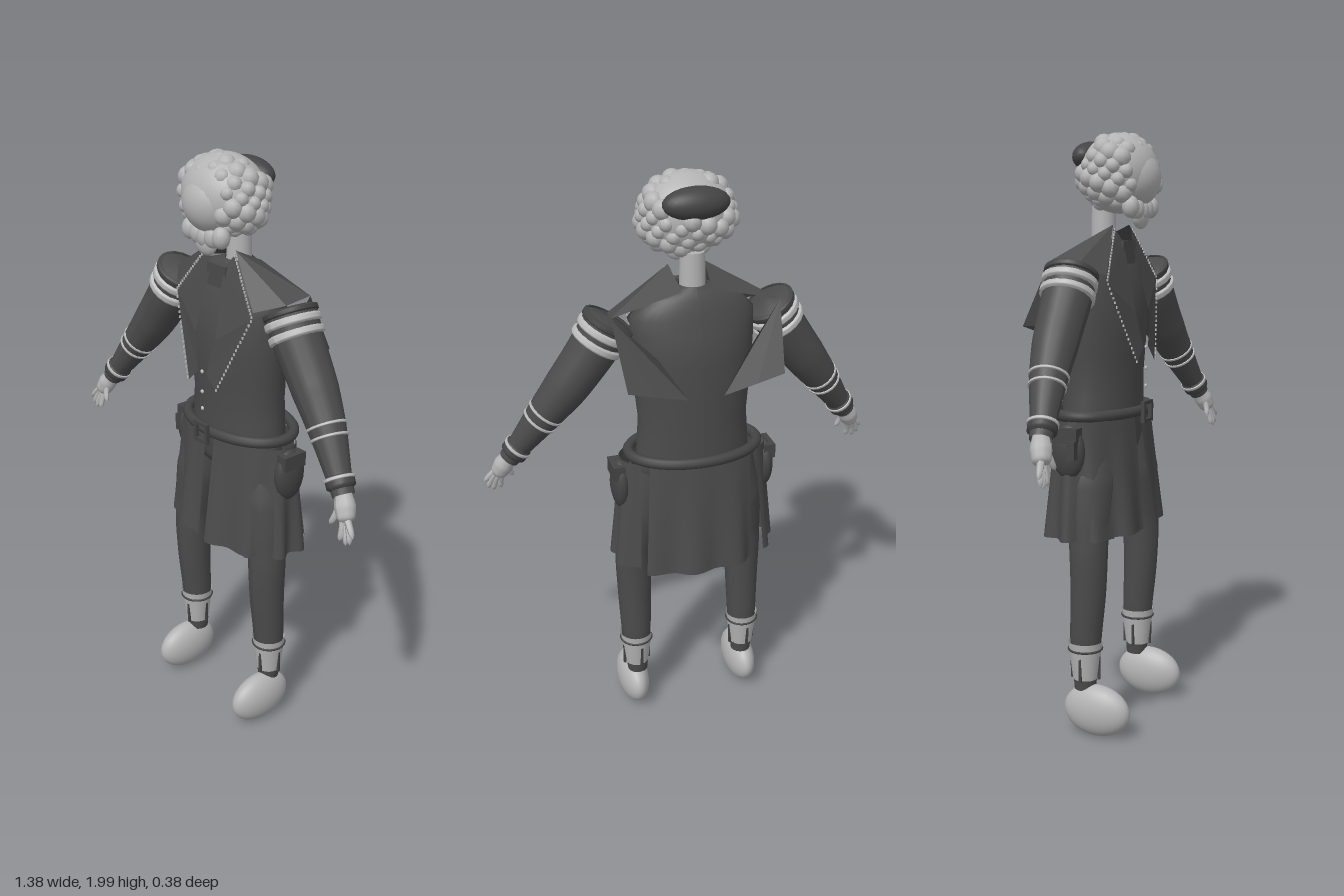
import * as THREE from 'three';

const mat = (name, color) => new THREE.MeshStandardMaterial({ name, color, side: THREE.DoubleSide });
const V = (x, y, z) => new THREE.Vector3(x, y, z);

export function createModel() {
  const model = new THREE.Group();
  const cloth = mat('dark cloth', 0x4b4b4b), leather = mat('dark leather', 0x444444);
  const light = mat('pale grey', 0xb4b4b4), trim = mat('pale trim', 0xbcbcbc);

  function add(name, geo, material, parent = model) {
    const mesh = new THREE.Mesh(geo, material);
    mesh.name = name;
    parent.add(mesh);
    return mesh;
  }
  function ellipsoid(name, c, r, material, parent, detail = 24) {
    const mesh = add(name, new THREE.SphereGeometry(1, detail, Math.ceil(detail * 0.7)), material, parent);
    mesh.position.set(...c);
    mesh.scale.set(...r);
    return mesh;
  }
  function box(name, c, size, material, parent) {
    const mesh = add(name, new THREE.BoxGeometry(...size), material, parent);
    mesh.position.set(...c);
    return mesh;
  }
  // Smooth tube whose radius follows a list of [t, radius]
  function limb(curve, radii, steps = 40, sides = 18) {
    const geo = new THREE.TubeGeometry(curve, steps, 1, sides);
    const p = geo.attributes.position, v = V(0, 0, 0);
    for (let i = 0; i < p.count; i++) {
      const t = Math.floor(i / (sides + 1)) / steps, c = curve.getPointAt(t);
      let k = 1;
      while (k < radii.length - 1 && radii[k][0] < t) k++;
      const [t0, r0] = radii[k - 1], [t1, r1] = radii[k];
      const r = r0 + (r1 - r0) * Math.min(1, (t - t0) / (t1 - t0));
      v.fromBufferAttribute(p, i).sub(c).multiplyScalar(r).add(c);
      p.setXYZ(i, v.x, v.y, v.z);
    }
    geo.computeVertexNormals();
    return geo;
  }
  const path = pts => new THREE.CatmullRomCurve3(pts.map(q => V(...q)));
  // Raised ring round a stretch of a curve
  function band(name, curve, t0, t1, r, material, parent) {
    const pts = [0, 0.33, 0.67, 1].map(k => curve.getPointAt(t0 + (t1 - t0) * k));
    add(name, limb(new THREE.CatmullRomCurve3(pts), [[0, r - 0.012], [0.17, r], [0.83, r], [1, r - 0.012]], 6, 20), material, parent);
  }
  // Surface from a grid rule f(u, v)
  function sheet(f, nu, nv) {
    const geo = new THREE.PlaneGeometry(1, 1, nu, nv), p = geo.attributes.position, uv = geo.attributes.uv;
    for (let i = 0; i < p.count; i++) p.setXYZ(i, ...f(uv.getX(i), 1 - uv.getY(i)));
    geo.computeVertexNormals();
    return geo;
  }
  // Flat-faced plate: a fan of corners
  function plate(pts) {
    const pos = [];
    for (let i = 1; i < pts.length - 1; i++) pos.push(...pts[0], ...pts[i], ...pts[i + 1]);
    const geo = new THREE.BufferGeometry();
    geo.setAttribute('position', new THREE.Float32BufferAttribute(pos, 3));
    geo.computeVertexNormals();
    return geo;
  }
  // Elliptical loft from rings [y, z, rx, rz], listed top down
  function loft(rings) {
    return sheet((u, v) => {
      const s = v * (rings.length - 1), k = Math.min(rings.length - 2, Math.floor(s));
      const [y, z, rx, rz] = rings[k].map((a, j) => a + (rings[k + 1][j] - a) * (s - k));
      const a = u * Math.PI * 2 + Math.PI;
      return [rx * Math.sin(a), y, z + rz * Math.cos(a)];
    }, 32, (rings.length - 1) * 2);
  }

  // Head: base, face, curls, beard and skullcap
  const head = new THREE.Group();
  head.name = 'head';
  model.add(head);
  ellipsoid('hairBase', [0, 1.865, 0.05], [0.15, 0.13, 0.125], light, head, 32);
  ellipsoid('face', [0, 1.85, 0.09], [0.105, 0.1, 0.097], light, head, 28);
  const count = 110;
  for (let i = 0; i < count; i++) {
    const y = 1 - 2 * (i + 0.5) / count, a = i * 2.39996, r = Math.sqrt(1 - y * y);
    const x = r * Math.sin(a), z = r * Math.cos(a);
    if ((z > 0.55 && Math.abs(x) < 0.6 && y < 0.65) || y < -0.85) continue;
    if (z < -0.3 && y > 0.15 && Math.abs(x) < 0.6) continue;
    const size = 0.028 + 0.006 * Math.sin(i * 4.7);
    ellipsoid('curl', [x * 0.143, 1.862 + y * 0.108, 0.05 + z * 0.113], [size, size, size], light, head, 10);
  }
  for (const x of [-0.075, -0.035, 0, 0.035, 0.075])
    ellipsoid('beardCurl', [x, 1.745 + Math.abs(x) * 0.15, 0.125], [0.03, 0.036, 0.028], light, head, 12);
  ellipsoid('beardPoint', [0, 1.725, 0.125], [0.05, 0.04, 0.02], light, head, 14);
  ellipsoid('skullcap', [0, 1.92, -0.05], [0.108, 0.05, 0.053], leather, head).rotation.x = -0.45;
  const neck = add('neck', new THREE.CylinderGeometry(0.04, 0.042, 0.16, 20), light);
  neck.position.set(0, 1.68, -0.01);

  // Coat body and hips
  add('coatBody', loft([[1.655, -0.01, 0.045, 0.045], [1.62, -0.01, 0.15, 0.07], [1.56, -0.005, 0.205, 0.095],
    [1.46, -0.005, 0.205, 0.12], [1.36, -0.005, 0.2, 0.125], [1.2, -0.01, 0.185, 0.12], [1.06, -0.01, 0.195, 0.12]]), cloth);
  add('hips', loft([[1.08, -0.005, 0.19, 0.115], [1.0, 0, 0.2, 0.1], [0.95, 0.01, 0.16, 0.08], [0.94, 0.01, 0.01, 0.01]]), cloth);
  for (const y of [1.3, 1.23, 1.17]) ellipsoid('button', [0, y, 0.147], [0.007, 0.007, 0.005], trim, model, 10);
  box('collarTab', [0, 1.61, 0.07], [0.09, 0.075, 0.03], cloth);

  // Belt and buckle
  const loop = [];
  for (let i = 0; i < 32; i++) loop.push(V(0.222 * Math.sin(i * Math.PI / 16), 1.085, -0.015 + 0.14 * Math.cos(i * Math.PI / 16)));
  add('belt', new THREE.TubeGeometry(new THREE.CatmullRomCurve3(loop, true), 64, 0.018, 10, true), leather);
  for (const s of [-1, 1]) {
    box('buckleSide', [s * 0.028, 1.085, 0.152], [0.012, 0.07, 0.014], leather);
    box('buckleBar', [0, 1.085 + s * 0.03, 0.152], [0.066, 0.012, 0.014], leather);
  }

  // Skirt panels by angle range in degrees, measured from the front
  function skirt(name, a0, a1, hem) {
    add(name, sheet((u, v) => {
      const a = (a0 + (a1 - a0) * u) * Math.PI / 180;
      const wave = 1 + 0.06 * v * Math.sin(a * 11);
      const rx = (0.255 + 0.025 * v) * wave, rz = (0.125 + 0.045 * v) * wave;
      return [rx * Math.sin(a), 1.07 + (hem - 1.07) * v, -0.008 + rz * Math.cos(a)];
    }, 24, 8), cloth);
  }
  skirt('backSkirt', 137, 223, 0.67);

  for (const s of [-1, 1]) {
    const side = new THREE.Group();
    side.name = s > 0 ? 'leftSide' : 'rightSide';
    model.add(side);
    const m = pts => pts.map(([x, y, z]) => [s * x, y, z]);

    skirt('frontSkirt', s * 5, s * 42, 0.685);
    skirt('sideSkirt', s * 40, s * 128, 0.68);

    // Shoulder cape, back flap and front lapel
    add('shoulderCape', plate(m([[0.06, 1.7, 0.055], [0.19, 1.54, 0.095], [0.27, 1.57, 0.03], [0.28, 1.585, -0.06], [0.05, 1.645, -0.06]])), cloth, side);
    add('backFlap', plate(m([[0.28, 1.585, -0.06], [0.26, 1.375, -0.172], [0.17, 1.35, -0.168], [0.06, 1.32, -0.16], [0.15, 1.46, -0.135]])), cloth, side);
    add('flapSide', plate(m([[0.28, 1.585, -0.06], [0.26, 1.375, -0.172], [0.235, 1.38, -0.07]])), cloth, side);
    add('lapel', plate(m([[0.19, 1.52, 0.095], [0.07, 1.25, 0.146], [0.02, 1.3, 0.146], [0.05, 1.42, 0.132], [0.03, 1.64, 0.08], [0.065, 1.69, 0.06]])), cloth, side);
    // Stitching along the lapel edge
    const edge = m([[0.065, 1.69, 0.064], [0.19, 1.52, 0.099], [0.07, 1.25, 0.15]]).map(q => V(...q));
    for (let k = 0; k < 2; k++) for (let i = 0; i < 18; i++) {
      const q = edge[k].clone().lerp(edge[k + 1], (i + 0.5) / 18);
      box('stitch', [q.x, q.y, q.z], [0.005, 0.008, 0.004], trim, side);
    }

    // Sleeve with bands
    const arm = path(m([[0.262, 1.56, 0.012], [0.315, 1.47, 0.02], [0.4, 1.35, 0.03], [0.48, 1.245, 0.048], [0.575, 1.115, 0.08], [0.605, 1.075, 0.09]]));
    add('sleeve', limb(arm, [[0, 0], [0.025, 0.083], [0.2, 0.08], [0.45, 0.073], [0.65, 0.06], [0.9, 0.04], [1, 0.035]]), cloth, side);
    band('sleeveTop', arm, 0.01, 0.05, 0.088, leather, side);
    band('upperBand', arm, 0.055, 0.105, 0.09, trim, side);
    band('lowerBand', arm, 0.125, 0.175, 0.089, trim, side);
    band('forearmBandUpper', arm, 0.63, 0.65, 0.064, trim, side);
    band('forearmBandLower', arm, 0.69, 0.71, 0.06, trim, side);
    band('cuff', arm, 0.89, 0.97, 0.046, leather, side);
    band('cuffTrim', arm, 0.9, 0.925, 0.049, trim, side);

    // Hand
    add('palm', limb(path(m([[0.595, 1.09, 0.085], [0.622, 1.05, 0.1], [0.645, 1.005, 0.115]])), [[0, 0.024], [0.5, 0.034], [0.9, 0.028], [1, 0]], 12, 12), light, side);
    const fingers = [[0.635, 1.035, 0.69, 0.975], [0.645, 1.02, 0.678, 0.95], [0.64, 1.01, 0.66, 0.94], [0.628, 1.01, 0.634, 0.945], [0.61, 1.05, 0.59, 0.985]];
    for (const [x0, y0, x1, y1] of fingers)
      add('finger', limb(path(m([[x0, y0, 0.11], [(x0 + x1) / 2 + 0.004, (y0 + y1) / 2, 0.122], [x1, y1, 0.13]])), [[0, 0.012], [0.85, 0.009], [1, 0]], 8, 8), light, side);

    // Leg, greave and foot
    const leg = path(m([[0.13, 1.02, 0], [0.17, 0.85, 0.02], [0.2, 0.67, 0.035], [0.203, 0.5, 0.035], [0.203, 0.33, 0.025], [0.202, 0.16, 0.022]]));
    add('trouserLeg', limb(leg, [[0, 0.085], [0.2, 0.088], [0.4, 0.066], [0.6, 0.06], [0.8, 0.053], [1, 0.036]]), cloth, side);
    const greave = add('greave', new THREE.CylinderGeometry(0.058, 0.042, 0.13, 20, 1, true), light, side);
    greave.position.set(s * 0.204, 0.262, 0.024);
    const rim = add('greaveRing', new THREE.TorusGeometry(0.056, 0.004, 6, 24), leather, side);
    rim.position.set(s * 0.204, 0.3, 0.024);
    rim.rotation.x = Math.PI / 2;
    for (const a of [0.2, 1.7, 3.3, 4.8]) {
      const strap = box('greaveSlit', [s * 0.204 + Math.sin(a) * 0.047, 0.24, 0.024 + Math.cos(a) * 0.047], [0.009, 0.09, 0.008], leather, side);
      strap.rotation.y = a;
    }
    ellipsoid('foot', [s * 0.21, 0.092, 0.07], [0.054, 0.088, 0.12], light, side, 32);

    // Hip pouch
    ellipsoid('pouch', [s * 0.255, 0.975, -0.01], [0.032, 0.09, 0.06], leather, side, 16);
    box('pouchFlap', [s * 0.265, 1.03, -0.01], [0.04, 0.05, 0.09], leather, side);
  }
  // Tool handle beside the right pouch
  box('toolHandle', [-0.28, 0.985, 0.02], [0.035, 0.06, 0.03], leather);
  return model;
}
